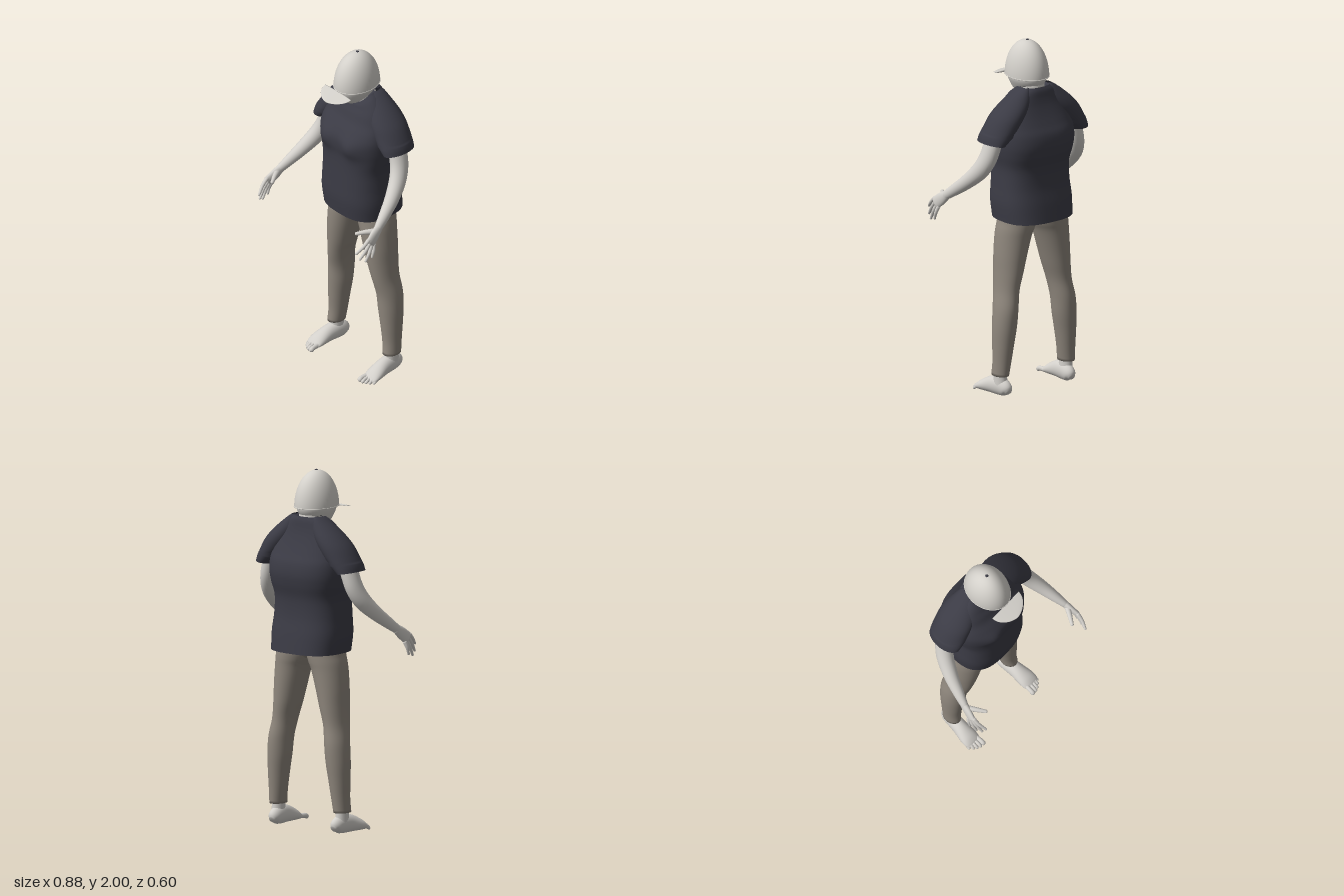
import * as THREE from 'three';

const mat = (name, color, open) => {
  const m = new THREE.MeshStandardMaterial({ color });
  m.name = name;
  if (open) m.side = THREE.DoubleSide;
  return m;
};

// Joins rings of points into a smooth skin, optionally closing both ends
function skin(rings, capped = true) {
  const n = rings[0].length, pos = [], idx = [];
  rings.forEach(r => r.forEach(p => pos.push(p.x, p.y, p.z)));
  for (let i = 0; i < rings.length - 1; i++) {
    for (let j = 0; j < n; j++) {
      const a = i * n + j, b = i * n + (j + 1) % n;
      idx.push(a, b, a + n, b, b + n, a + n);
    }
  }
  if (capped) {
    [0, rings.length - 1].forEach((i, end) => {
      const c = new THREE.Vector3();
      rings[i].forEach(p => c.addScaledVector(p, 1 / n));
      const k = pos.length / 3;
      pos.push(c.x, c.y, c.z);
      for (let j = 0; j < n; j++) {
        const a = i * n + j, b = i * n + (j + 1) % n;
        idx.push(...(end ? [k, a, b] : [k, b, a]));
      }
    });
  }
  const g = new THREE.BufferGeometry();
  g.setAttribute('position', new THREE.Float32BufferAttribute(pos, 3));
  g.setIndex(idx);
  g.computeVertexNormals();
  return g;
}

// Smoothly resamples a list of equal-length sections
function resample(rows, steps) {
  const f = new THREE.CubicInterpolant(rows.map((_, i) => i), rows.flat(), rows[0].length);
  const count = (rows.length - 1) * steps;
  return Array.from({ length: count + 1 }, (_, i) => Array.from(f.evaluate(i / steps)));
}

const power = (v, e) => Math.sign(v) * Math.pow(Math.abs(v), 2 / e);

// Horizontal sections from top to bottom: [y, x0, x1, z0, z1]
function loft(rows, { seg = 40, steps = 5, e = 2, capped = true, mod } = {}) {
  return skin(resample(rows, steps).map(([y, x0, x1, z0, z1]) =>
    Array.from({ length: seg }, (_, j) => {
      const t = j / seg * Math.PI * 2;
      const p = new THREE.Vector3(
        (x0 + x1) / 2 + (x1 - x0) / 2 * power(Math.cos(t), e), y,
        (z0 + z1) / 2 + (z1 - z0) / 2 * power(Math.sin(t), e));
      if (mod) mod(p, Math.sin(t));
      return p;
    })), capped);
}

// Path sections [x, y, z, halfWidth, halfThickness]; width lies nearest to x, the end is rounded
function limb(rows, { seg = 20, steps = 5, round = true } = {}) {
  const s = resample(rows, steps);
  const P = s.map(r => new THREE.Vector3(r[0], r[1], r[2]));
  const ring = (p, t, ra, rb) => {
    const a = new THREE.Vector3(1, 0, 0).addScaledVector(t, -t.x).normalize();
    const b = t.clone().cross(a);
    return Array.from({ length: seg }, (_, j) => {
      const w = j / seg * Math.PI * 2;
      return p.clone().addScaledVector(a, ra * Math.cos(w)).addScaledVector(b, rb * Math.sin(w));
    });
  };
  const last = s.length - 1;
  const tangent = i => P[Math.min(i + 1, last)].clone().sub(P[Math.max(i - 1, 0)]).normalize();
  const rings = s.map((r, i) => ring(P[i], tangent(i), r[3], r[4]));
  if (round) {
    const [, , , ra, rb] = s[last], t = tangent(last), d = Math.min(ra, rb);
    for (const w of [0.4, 0.8, 1.15, 1.45]) {
      rings.push(ring(P[last].clone().addScaledVector(t, d * Math.sin(w)), t, ra * Math.cos(w), rb * Math.cos(w)));
    }
  }
  return skin(rings);
}

function mirrored(g) {
  const m = g.clone().scale(-1, 1, 1), a = m.index.array;
  for (let i = 0; i < a.length; i += 3) [a[i], a[i + 1]] = [a[i + 1], a[i]];
  m.computeVertexNormals();
  return m;
}

export function createModel() {
  const model = new THREE.Group();
  model.name = 'standingFigure';
  const skinMat = mat('skin', 0xd2cfca), capMat = mat('cap cloth', 0xd3d0ca, true);
  const shirt = mat('shirt cloth', 0x3b3b45, true), pants = mat('trouser cloth', 0x8f877d);
  const add = (name, g, m) => {
    const mesh = new THREE.Mesh(g, m);
    mesh.name = name;
    model.add(mesh);
    return mesh;
  };
  const pair = (name, g, m) => {
    add('left' + name, g, m);
    add('right' + name, mirrored(g), m);
  };

  // Shirt body with a dipped neckline and a soft chest
  const body = [
    [1.752, 0.09, -0.195, -0.04], [1.73, 0.125, -0.205, -0.025], [1.69, 0.165, -0.212, -0.015],
    [1.65, 0.19, -0.222, 0], [1.6, 0.21, -0.24, 0.02], [1.55, 0.225, -0.262, 0.055],
    [1.5, 0.233, -0.285, 0.078], [1.44, 0.233, -0.293, 0.08], [1.38, 0.225, -0.285, 0.075],
    [1.3, 0.21, -0.266, 0.075], [1.2, 0.214, -0.266, 0.078], [1.1, 0.221, -0.283, 0.08],
    [1.0, 0.214, -0.297, 0.07]];
  add('shirtBody', loft(body.map(([y, w, b, f]) => [y, -w, w, b, f]), {
    seg: 64, e: 2.7, capped: false,
    mod: (p, s) => {
      if (s <= 0) return;
      const bump = Math.exp(-(((Math.abs(p.x) - 0.1) / 0.06) ** 2) - ((p.y - 1.46) / 0.06) ** 2);
      p.z += 0.022 * bump * s;
      p.y -= 0.06 * (Math.max(0, p.y - 1.6) / 0.15) ** 2 * s * s;
    },
  }), shirt);

  // Shoulders running into short sleeves
  pair('Sleeve', loft([
    [1.755, 0.07, 0.095, -0.175, -0.12], [1.74, 0.05, 0.122, -0.188, -0.09],
    [1.7, 0.04, 0.178, -0.206, -0.06], [1.65, 0.06, 0.236, -0.224, -0.035],
    [1.6, 0.09, 0.282, -0.232, -0.02], [1.54, 0.14, 0.318, -0.23, -0.015],
    [1.5, 0.19, 0.336, -0.225, -0.013], [1.465, 0.23, 0.345, -0.219, -0.016],
  ], { capped: false, mod: p => { if (p.y < 1.52) p.y += (p.x - 0.29) * 0.15; } }), shirt);

  // Trousers
  add('trouserSeat', loft([
    [1.1, -0.19, 0.19, -0.22, 0], [1.0, -0.15, 0.15, -0.205, -0.012], [0.955, -0.04, 0.04, -0.15, -0.05],
  ]), pants);
  pair('TrouserLeg', loft([
    [1.1, 0, 0.2, -0.22, 0], [1.0, -0.004, 0.212, -0.222, 0], [0.95, 0.008, 0.222, -0.22, 0],
    [0.9, 0.03, 0.228, -0.215, 0], [0.8, 0.06, 0.235, -0.21, -0.005], [0.7, 0.088, 0.238, -0.205, -0.015],
    [0.6, 0.117, 0.245, -0.2, -0.03], [0.5, 0.132, 0.263, -0.209, -0.05], [0.4, 0.141, 0.272, -0.206, -0.057],
    [0.3, 0.157, 0.272, -0.196, -0.064], [0.2, 0.172, 0.27, -0.185, -0.07], [0.12, 0.184, 0.271, -0.177, -0.064],
  ]), pants);

  // Feet: ankle, foot and five toes
  pair('Ankle', limb([
    [0.228, 0.18, -0.12, 0.034, 0.042], [0.226, 0.11, -0.12, 0.034, 0.042], [0.225, 0.05, -0.12, 0.036, 0.05],
  ], { round: false }), skinMat);
  pair('Foot', limb([
    [0.218, 0.03, -0.186, 0.018, 0.018], [0.219, 0.044, -0.165, 0.034, 0.042], [0.222, 0.054, -0.12, 0.04, 0.053],
    [0.227, 0.05, -0.06, 0.043, 0.049], [0.232, 0.036, 0, 0.05, 0.035], [0.234, 0.024, 0.035, 0.049, 0.022],
    [0.235, 0.018, 0.052, 0.042, 0.012],
  ], { seg: 28 }), skinMat);
  [[0.2, 0.102, 0.014], [0.222, 0.098, 0.01], [0.241, 0.09, 0.0095], [0.258, 0.077, 0.009], [0.274, 0.06, 0.0085]]
    .forEach(([x, z, r], i) => pair('Toe' + (i + 1), limb([
      [0.235 + (x - 0.235) * 0.85, 0.024, 0.01, r, r], [x, 0.022, z - 0.03, r * 0.9, r],
      [x, r + 0.002, z - r, r, r],
    ], { seg: 12, steps: 3 }), skinMat));

  // Arms, bent forward at the elbow
  pair('Arm', limb([
    [0.25, 1.55, -0.12, 0.048, 0.058], [0.28, 1.45, -0.118, 0.047, 0.055], [0.305, 1.37, -0.105, 0.046, 0.054],
    [0.33, 1.3, -0.068, 0.045, 0.05], [0.36, 1.23, 0, 0.039, 0.041], [0.385, 1.17, 0.075, 0.03, 0.033],
    [0.403, 1.125, 0.135, 0.021, 0.026],
  ], { seg: 28 }), skinMat);
  pair('Palm', limb([
    [0.402, 1.13, 0.128, 0.02, 0.025], [0.41, 1.1, 0.165, 0.019, 0.034], [0.42, 1.068, 0.205, 0.015, 0.036],
  ], { seg: 24 }), skinMat);

  // Fingers fan out from the knuckles
  const fingers = { IndexFinger: [0.028, 0.4, 1.022, 0.295], MiddleFinger: [0.01, 0.412, 0.985, 0.278],
    RingFinger: [-0.009, 0.424, 0.966, 0.246], LittleFinger: [-0.026, 0.43, 0.978, 0.205] };
  for (const [name, [o, x, y, z]] of Object.entries(fingers)) {
    const ky = 1.07 + 0.75 * o, kz = 0.2 + 0.66 * o;
    pair(name, limb([
      [0.419, ky, kz, 0.012, 0.011], [0.005 + (0.42 + x) / 2, (ky + y) / 2, (kz + z) / 2, 0.01, 0.01],
      [x, y, z, 0.007, 0.007],
    ], { seg: 12 }), skinMat);
  }
  pair('Thumb', limb([
    [0.408, 1.112, 0.15, 0.018, 0.018], [0.378, 1.113, 0.198, 0.014, 0.014], [0.347, 1.107, 0.245, 0.01, 0.01],
  ], { seg: 14 }), skinMat);

  // Neck and plain face
  add('neck', limb([
    [0, 1.82, -0.1, 0.07, 0.075], [0, 1.72, -0.115, 0.068, 0.07], [0, 1.62, -0.125, 0.08, 0.07],
  ], { round: false }), skinMat);
  add('head', loft([
    [1.88, -0.05, 0.05, -0.13, 0], [1.84, -0.085, 0.085, -0.18, 0.045], [1.79, -0.098, 0.098, -0.195, 0.06],
    [1.74, -0.077, 0.077, -0.165, 0.046], [1.705, -0.05, 0.05, -0.1, 0.02], [1.688, -0.02, 0.02, -0.05, -0.005],
  ]), skinMat);

  // Cap: dome, rim, brim and top button
  const dome = new THREE.SphereGeometry(1, 48, 20, 0, Math.PI * 2, 0, Math.PI / 2);
  add('capDome', dome.scale(0.111, 0.202, 0.14).translate(0, 1.793, -0.066), capMat);
  const rim = new THREE.TorusGeometry(0.11, 0.003, 8, 48).rotateX(Math.PI / 2);
  add('capRim', rim.scale(1, 1, 1.265).translate(0, 1.795, -0.066), capMat);
  add('capBrim', limb([0, 0.2, 0.4, 0.6, 0.8, 0.93, 0.99].map(u =>
    [0, 1.787 - 0.022 * u, 0.07 + 0.094 * u, 0.107 * Math.pow(1 - u * u, 0.62), 0.006 - 0.002 * u]),
  { seg: 32, round: false }), capMat);
  add('capButton', new THREE.SphereGeometry(0.01, 16, 12).translate(0, 1.99, -0.07), shirt);
  return model;
}
